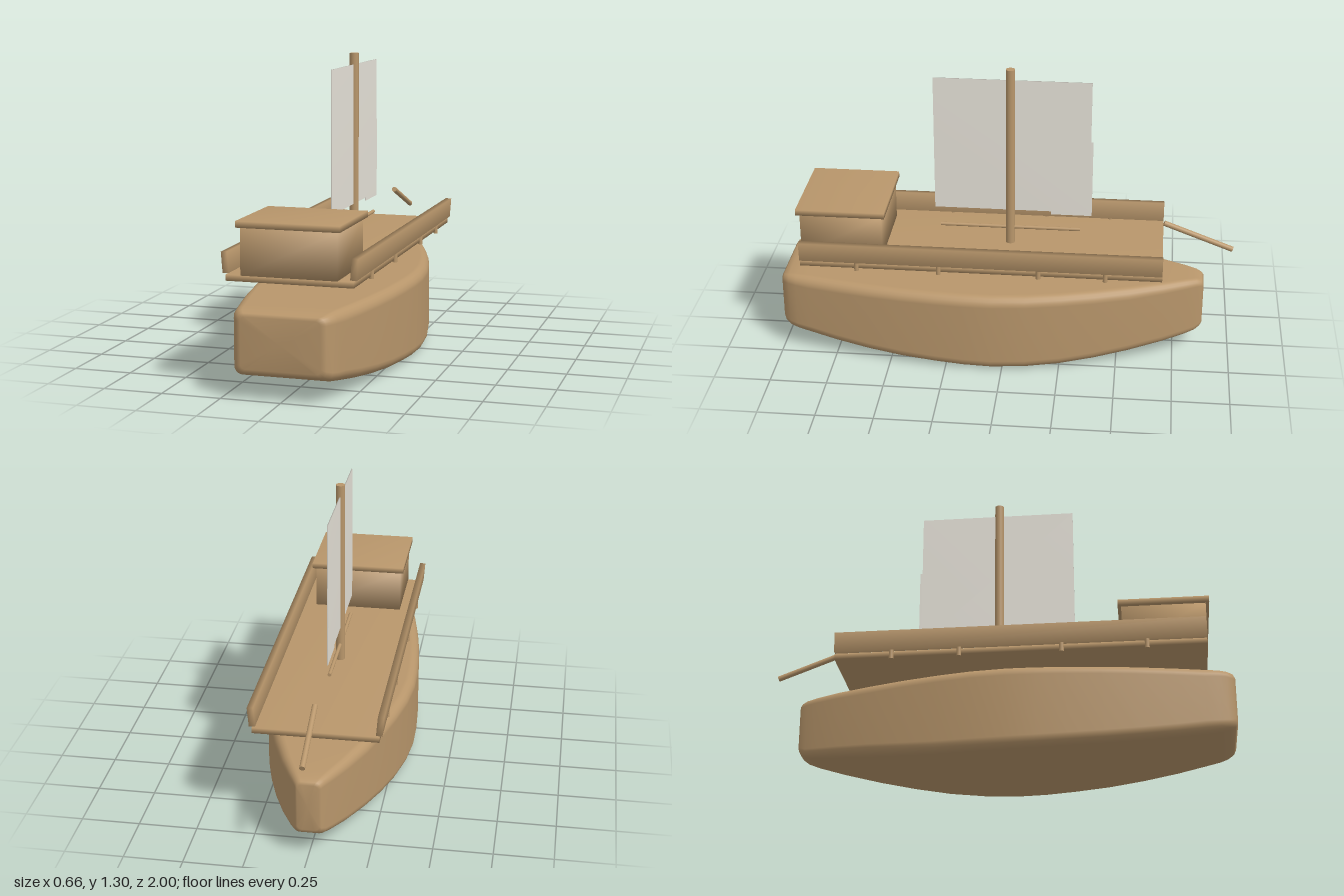
import * as THREE from 'three';
import { mergeVertices } from 'three/addons/utils/BufferGeometryUtils.js';

const wood = new THREE.MeshStandardMaterial({ color: 0xb8966b });
const cloth = new THREE.MeshStandardMaterial({ color: 0xe8e4da, side: THREE.DoubleSide });

// box with softly shared corner normals
function softBox(w, h, d) {
  const geometry = new THREE.BoxGeometry(w, h, d);
  geometry.deleteAttribute('normal');
  geometry.deleteAttribute('uv');
  const welded = mergeVertices(geometry);
  welded.computeVertexNormals();
  return welded;
}

function hullGeometry() {
  // stations from front to back: z, half width, bottom, top, corner radius
  const stations = [
    [1, 0.165, 0.125, 0.335, 0.02], [0.99, 0.185, 0.108, 0.348, 0.03],
    [0.965, 0.203, 0.094, 0.355, 0.035], [0.93, 0.216, 0.084, 0.359, 0.04],
    [0.87, 0.23, 0.073, 0.36, 0.045], [0.75, 0.256, 0.054, 0.36, 0.045],
    [0.6, 0.284, 0.035, 0.36, 0.045], [0.45, 0.306, 0.02, 0.36, 0.045],
    [0.3, 0.321, 0.01, 0.36, 0.045], [0.17, 0.329, 0.003, 0.36, 0.045],
    [0.05, 0.33, 0, 0.36, 0.045], [-0.1, 0.315, 0.001, 0.36, 0.045],
    [-0.25, 0.285, 0.007, 0.36, 0.045], [-0.4, 0.246, 0.021, 0.36, 0.045],
    [-0.55, 0.198, 0.039, 0.36, 0.045], [-0.7, 0.14, 0.062, 0.36, 0.04],
    [-0.8, 0.093, 0.08, 0.358, 0.035], [-0.845, 0.069, 0.092, 0.354, 0.03],
    [-0.868, 0.054, 0.108, 0.346, 0.025], [-0.877, 0.045, 0.125, 0.335, 0.02],
  ];
  const steps = 5;
  const n = 4 * (steps + 1);
  const pos = [];
  const index = [];
  for (const [z, w, y0, y1, r] of stations) {
    const corners = [[w - r, y1 - r], [r - w, y1 - r], [r - w, y0 + r], [w - r, y0 + r]];
    corners.forEach(([cx, cy], q) => {
      for (let k = 0; k <= steps; k++) {
        const a = (q + k / steps) * Math.PI / 2;
        pos.push(cx + r * Math.cos(a), cy + r * Math.sin(a), z);
      }
    });
  }
  const last = stations.length - 1;
  for (let i = 0; i < last; i++) {
    for (let j = 0; j < n; j++) {
      const a = i * n + j, b = i * n + (j + 1) % n;
      index.push(a, a + n, b, b, a + n, b + n);
    }
  }
  // flat end caps
  const front = pos.length / 3;
  pos.push(0, 0.23, 1, 0, 0.23, -0.877);
  for (let j = 0; j < n; j++) {
    const k = (j + 1) % n;
    index.push(front, j, k, front + 1, last * n + k, last * n + j);
  }
  const geometry = new THREE.BufferGeometry();
  geometry.setAttribute('position', new THREE.Float32BufferAttribute(pos, 3));
  geometry.setIndex(index);
  geometry.computeVertexNormals();
  return geometry;
}

export function createModel() {
  const model = new THREE.Group();

  function add(name, geometry, x, y, z, material = wood) {
    const mesh = new THREE.Mesh(geometry, material);
    mesh.name = name;
    mesh.position.set(x, y, z);
    model.add(mesh);
    return mesh;
  }

  // round pole between two points
  function pole(name, from, to, radius) {
    const a = new THREE.Vector3(...from), b = new THREE.Vector3(...to);
    const dir = b.clone().sub(a);
    const mid = a.add(b).multiplyScalar(0.5);
    const mesh = add(name, new THREE.CylinderGeometry(radius, radius, dir.length(), 16), mid.x, mid.y, mid.z);
    mesh.quaternion.setFromUnitVectors(new THREE.Vector3(0, 1, 0), dir.normalize());
    return mesh;
  }

  // hull and the deck floating above it
  add('hull', hullGeometry(), 0, 0, 0);
  add('deck', softBox(0.53, 0.025, 1.58), 0, 0.4625, 0.1);

  // cabin with an overhanging roof
  add('cabin', softBox(0.4, 0.195, 0.36), 0, 0.5725, 0.715);
  add('cabinRoof', softBox(0.43, 0.026, 0.39), 0, 0.682, 0.715);

  // outward leaning rails and their pegs
  for (const side of [-1, 1]) {
    const name = side > 0 ? 'left' : 'right';
    const rail = add(name + 'Rail', softBox(0.026, 0.087, 1.58), side * 0.267, 0.524, 0.1);
    rail.rotation.z = -side * 0.08;
    for (const z of [0.64, 0.28, -0.155, -0.445]) {
      pole(name + 'Peg', [side * 0.266, 0.44, z], [side * 0.266, 0.485, z], 0.01);
    }
  }

  // mast, boom and bowsprit
  pole('mast', [0, 0.435, -0.01], [0, 1.3, -0.01], 0.02);
  pole('boom', [0, 0.55, -0.32], [0, 0.55, 0.3], 0.008);
  pole('bowsprit', [0, 0.6, -0.69], [0, 0.485, -0.995], 0.012);

  // sail and the patch at its rear lower corner
  add('sail', softBox(0.005, 0.615, 0.685), 0, 0.9425, -0.0175, cloth);
  add('sailPatch', softBox(0.004, 0.355, 0.18), 0, 0.7975, -0.28, cloth);

  return model;
}
